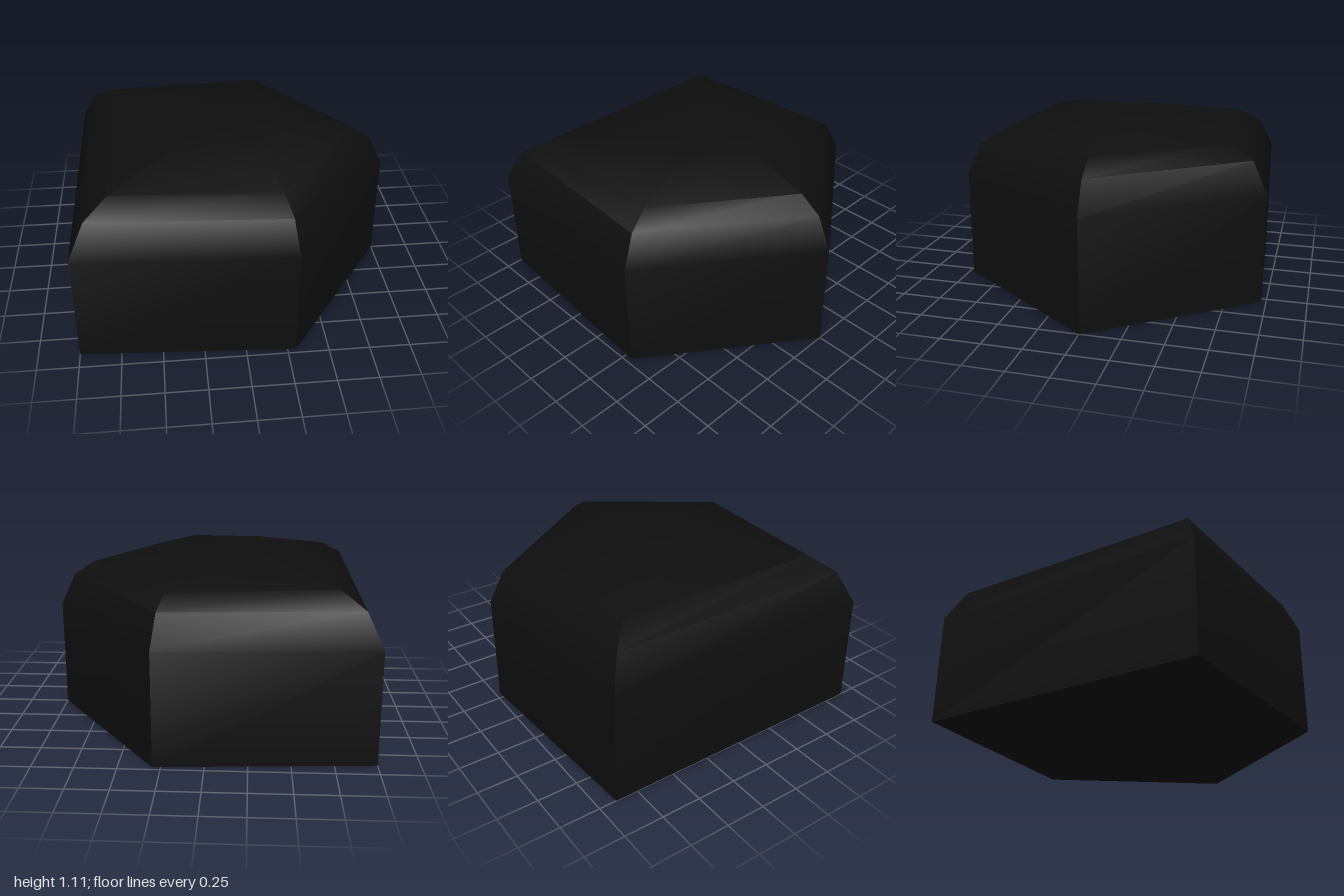
import * as THREE from 'three';
import { toCreasedNormals } from 'three/addons/utils/BufferGeometryUtils.js';

// Five-sided footprint, as [x, z]
const corners = [[1, 0], [0.3, 0.97], [-1, 0.89], [-1, -0.89], [0.3, -0.97]];

// Rings from base to crown: height, scale of the footprint, shift in x
const rings = [
  [0, 1, 0],
  [0.7, 1, 0],
  [0.9, 0.905, 0],
  [0.99, 0.768, 0],
  [1.105, 0.335, 0.03],
];

function loftRings() {
  const points = rings.map(([y, s, dx]) =>
    corners.map(([x, z]) => [x * s + dx, y, z * s]));
  const n = corners.length;
  const positions = [];
  const tri = (...p) => positions.push(...p.flat());

  // Walls and rounded shoulders
  for (let r = 0; r < rings.length - 1; r++) {
    for (let i = 0; i < n; i++) {
      const j = (i + 1) % n;
      const [a, b] = [points[r][i], points[r][j]];
      const [c, d] = [points[r + 1][i], points[r + 1][j]];
      tri(a, c, b);
      tri(b, c, d);
    }
  }

  // Flat base and flat crown
  const base = points[0];
  const crown = points[rings.length - 1];
  for (let i = 1; i < n - 1; i++) {
    tri(base[0], base[i], base[i + 1]);
    tri(crown[0], crown[i + 1], crown[i]);
  }

  const geometry = new THREE.BufferGeometry();
  geometry.setAttribute('position', new THREE.Float32BufferAttribute(positions, 3));
  return toCreasedNormals(geometry, THREE.MathUtils.degToRad(35));
}

export function createModel() {
  const black = new THREE.MeshStandardMaterial({ color: 0x0e0e0e });
  black.name = 'black';

  const body = new THREE.Mesh(loftRings(), black);
  body.name = 'domedBlock';

  const group = new THREE.Group();
  group.name = 'pentagonalDome';
  group.add(body);
  return group;
}
